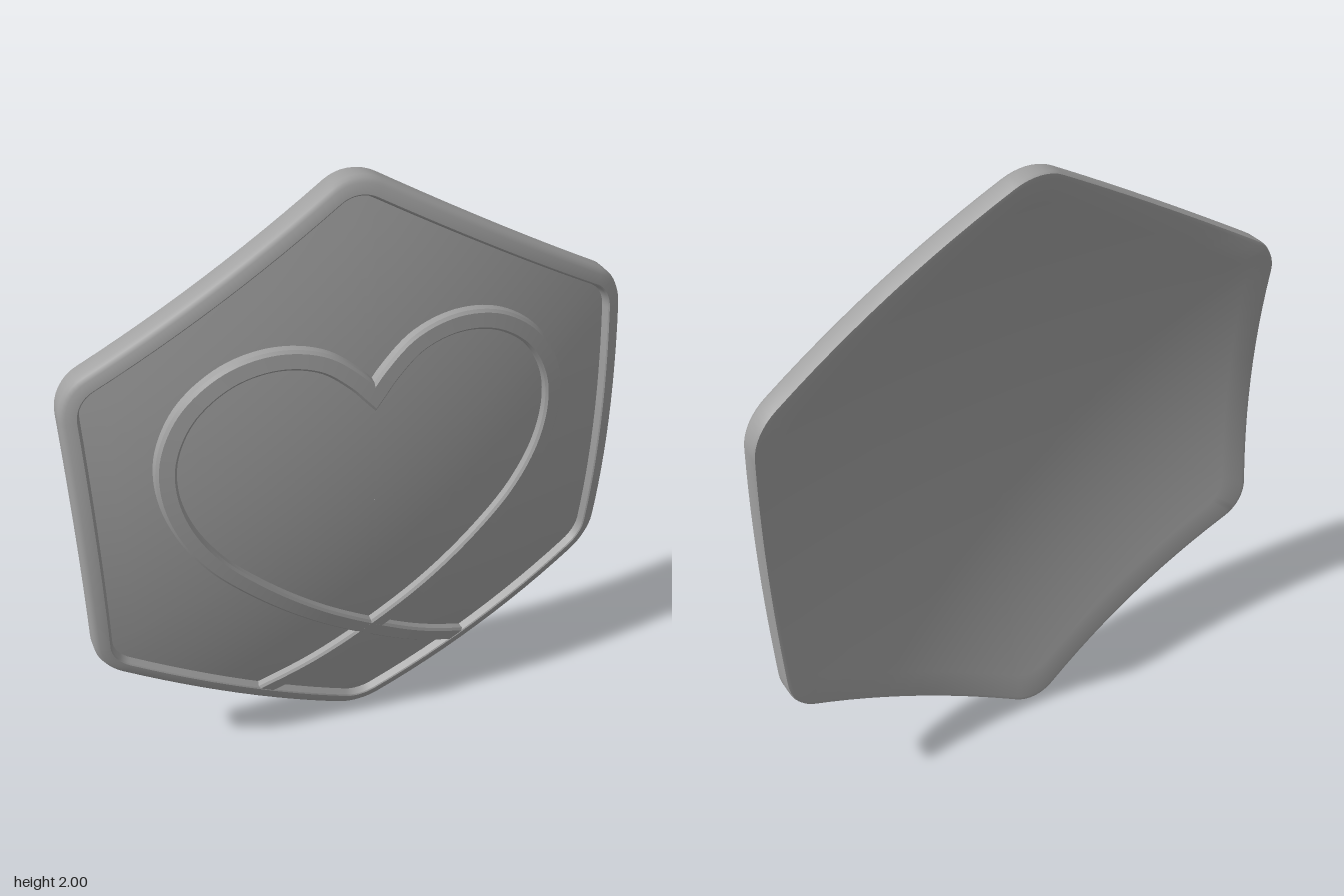
import * as THREE from 'three';
import { toCreasedNormals } from 'three/addons/utils/BufferGeometryUtils.js';

const APOTHEM = 0.887, CORNER = 0.155;

// Height of the domed front face above a point (y measured from the centre)
const dome = (x, y) => 0.105 - 0.165 * (x * x + y * y);

// Rounded pointy-top hexagon, inset from the outer edge and scaled, counter-clockwise
function hexRing(inset, scale) {
  const a = APOTHEM - inset, r = CORNER - inset, arcs = 8, edge = 12;
  const centre = (a - r) / Math.cos(Math.PI / 6);
  const corners = [];
  for (let k = 0; k < 6; k++) {
    const dir = Math.PI / 2 + k * Math.PI / 3;
    const arc = [];
    for (let i = 0; i <= arcs; i++) {
      const t = dir + (i / arcs - 0.5) * Math.PI / 3;
      arc.push(new THREE.Vector2(Math.cos(dir) * centre + Math.cos(t) * r, Math.sin(dir) * centre + Math.sin(t) * r));
    }
    corners.push(arc);
  }
  const pts = [];
  corners.forEach((arc, k) => {
    pts.push(...arc);
    const from = arc[arcs], to = corners[(k + 1) % 6][0];
    for (let i = 1; i < edge; i++) pts.push(from.clone().lerp(to, i / edge));
  });
  return pts.map((p) => p.multiplyScalar(scale));
}

// Skin a list of equally long point rows
function skin(rows, closed) {
  const n = rows[0].length, pos = [], index = [];
  rows.forEach((row) => row.forEach((p) => pos.push(p.x, p.y, p.z)));
  for (let i = 0; i + 1 < rows.length; i++) {
    for (let j = 0; j < (closed ? n : n - 1); j++) {
      const k = (j + 1) % n;
      const a = i * n + j, b = i * n + k, c = a + n, d = b + n;
      index.push(a, b, d, a, d, c);
    }
  }
  const g = new THREE.BufferGeometry();
  g.setAttribute('position', new THREE.Float32BufferAttribute(pos, 3));
  g.setIndex(index);
  return toCreasedNormals(g, 0.5);
}

// Curved plate: back face, outer wall, raised rim and domed front in one skin
function plateGeometry() {
  const rings = []; // [inset, scale, height over the dome]
  const steps = 12;
  for (let i = 0; i <= steps; i++) rings.push([0.015, Math.max(i / steps, 0.0005), -0.05]);
  rings.push([0.004, 1, -0.046], [0, 1, -0.036]);
  rings.push([0, 1, 0.012], [0.005, 1, 0.023], [0.016, 1, 0.03]);
  rings.push([0.046, 1, 0.03], [0.05, 1, 0.026], [0.058, 1, 0]);
  for (let i = steps - 1; i >= 0; i--) rings.push([0.058, Math.max(i / steps, 0.0005), 0]);
  return skin(rings.map(([inset, scale, h]) =>
    hexRing(inset, scale).map((p) => new THREE.Vector3(p.x, p.y, dome(p.x, p.y) + h))), true);
}

// Half of the heart band: notch, lobe, crossing, then the tail on the other side
const HALF_HEART = [
  [0, 1.372], [0.055, 1.435], [0.15, 1.508], [0.28, 1.537], [0.42, 1.508], [0.545, 1.415],
  [0.612, 1.29], [0.624, 1.17], [0.592, 1.03], [0.51, 0.885], [0.38, 0.745],
  [0.2, 0.588], [0, 0.444], [-0.18, 0.325], [-0.37, 0.222],
];
const BAND = [[-0.033, -0.008], [-0.03, 0.02], [-0.022, 0.028], [0.022, 0.028], [0.03, 0.02], [0.033, -0.008]];

function bandGeometry(side) {
  const curve = new THREE.CatmullRomCurve3(
    HALF_HEART.map(([x, y]) => new THREE.Vector3(side * x, y - 1, 0)), false, 'centripetal');
  const rows = [], n = 110;
  for (let i = 0; i <= n; i++) {
    const p = curve.getPointAt(i / n), t = curve.getTangentAt(i / n);
    rows.push(BAND.map(([s, h]) => {
      let x = p.x + t.y * s, y = p.y - t.x * s;
      // mitre the notch on the centre line
      if (i === 0 || (i < 8 && x * side < 0)) {
        y -= (x / t.x) * t.y;
        x = 0;
      }
      return new THREE.Vector3(x, y, dome(x, y) + h);
    }));
  }
  return skin(rows, false);
}

export function createModel() {
  const group = new THREE.Group();
  group.name = 'hexagonalHeartPlaque';
  const grey = new THREE.MeshStandardMaterial({ color: 0xa0a0a0 });
  grey.name = 'plain grey';

  const add = (name, geometry) => {
    const mesh = new THREE.Mesh(geometry, grey);
    mesh.name = name;
    mesh.position.y = 1;
    group.add(mesh);
  };
  add('domedPlateWithRim', plateGeometry());
  add('leftHeartBand', bandGeometry(1));
  add('rightHeartBand', bandGeometry(-1));
  return group;
}
